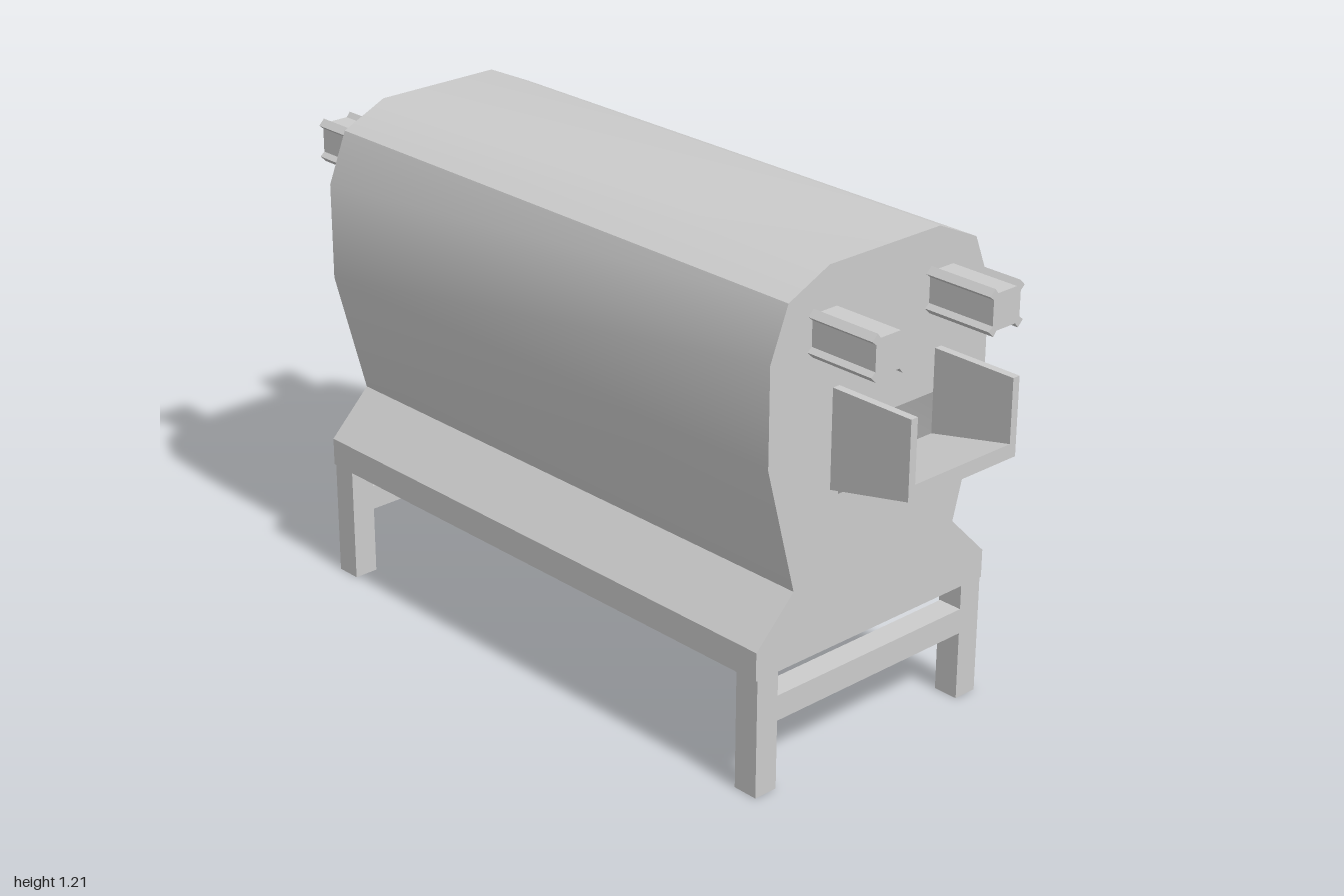
import * as THREE from 'three';
import { toCreasedNormals } from 'three/addons/utils/BufferGeometryUtils.js';

const FRONT = 0.775, BACK = -0.725;
const mat = new THREE.MeshStandardMaterial({ color: 0xcccccc });
const thin = new THREE.MeshStandardMaterial({ color: 0xcccccc, side: THREE.DoubleSide });

const toShape = (pts) => new THREE.Shape(pts.map(([x, y]) => new THREE.Vector2(x, y)));
const rect = (x0, x1, y0, y1) => [[x0, y0], [x1, y0], [x1, y1], [x0, y1]];

// Housing outline, right half mirrored to the left, counter-clockwise
const half = [[0.365, 0.295], [0.365, 0.365], [0.255, 0.475], [0.34, 0.79], [0.34, 1.03], [0.29, 1.155], [0.17, 1.21]];
const outline = [...half, ...half.map(([x, y]) => [-x, y]).reverse()];

// Hollow skin running along z around the outline
function skinGeometry() {
  const pos = [];
  outline.forEach(([ax, ay], i) => {
    const [bx, by] = outline[(i + 1) % outline.length];
    pos.push(ax, ay, FRONT, bx, by, BACK, bx, by, FRONT);
    pos.push(ax, ay, FRONT, ax, ay, BACK, bx, by, BACK);
  });
  const g = new THREE.BufferGeometry();
  g.setAttribute('position', new THREE.Float32BufferAttribute(pos, 3));
  return toCreasedNormals(g, 0.52);
}

// End plate with its opening
function plateGeometry(opening) {
  const s = toShape(outline);
  s.holes.push(toShape(opening));
  return new THREE.ShapeGeometry(s);
}

// Side profile in (z, y) extruded across x0..x1
function acrossX(pts, x0, x1) {
  const g = new THREE.ExtrudeGeometry(toShape(pts), { depth: x1 - x0, bevelEnabled: false });
  return g.rotateY(-Math.PI / 2).translate(x1, 0, 0);
}

// Square bar profile with flared corners
function railGeometry(z0, z1) {
  const corner = [[0.043, 0.03], [0.055, 0.04], [0.04, 0.055], [0.03, 0.043]];
  const pts = [];
  for (let k = 0; k < 4; k++) {
    const c = Math.round(Math.cos(k * Math.PI / 2)), s = Math.round(Math.sin(k * Math.PI / 2));
    corner.forEach(([x, y]) => pts.push([x * c - y * s, x * s + y * c]));
  }
  return new THREE.ExtrudeGeometry(toShape(pts), { depth: z1 - z0, bevelEnabled: false }).translate(0, 0, z0);
}

export function createModel() {
  const model = new THREE.Group();
  model.name = 'machine';
  const add = (name, geometry, material = mat, parent = model) => {
    const m = new THREE.Mesh(geometry, material);
    m.name = name;
    parent.add(m);
    return m;
  };
  const box = (name, x0, x1, y0, y1, z0, z1, parent) =>
    add(name, new THREE.BoxGeometry(x1 - x0, y1 - y0, z1 - z0), mat, parent)
      .position.set((x0 + x1) / 2, (y0 + y1) / 2, (z0 + z1) / 2);

  // Hollow housing
  const housing = new THREE.Group();
  housing.name = 'housing';
  model.add(housing);
  add('housingSkin', skinGeometry(), thin, housing);
  add('frontPlate', plateGeometry(rect(-0.125, 0.17, 0.667, 0.82)), thin, housing).position.z = FRONT;
  add('backPlate', plateGeometry(rect(-0.13, 0.19, 0.7, 0.95)).rotateY(0), thin, housing).position.z = BACK;

  // Front chute: sloping floor between two cheeks
  const chute = new THREE.Group();
  chute.name = 'frontChute';
  model.add(chute);
  const cheek = [[FRONT, 0.685], [1, 0.735], [1, 0.925], [FRONT, 0.925]];
  add('chuteFloor', acrossX([[FRONT, 0.685], [1, 0.735], [1, 0.77], [FRONT, 0.72]], -0.13, 0.17), mat, chute);
  add('chuteRightCheek', acrossX(cheek, -0.15, -0.13), mat, chute);
  add('chuteLeftCheek', acrossX(cheek, 0.17, 0.19), mat, chute);

  // Back tray reaching into the housing
  box('backTray', -0.125, 0.165, 0.7, 0.716, -1, -0.54);

  // Two rails passing through the housing
  for (const [name, x] of [['rightRail', -0.175], ['leftRail', 0.187]]) {
    add(name, railGeometry(-0.91, 0.957)).position.set(x, 1.068, 0);
  }

  // Leg frames at both ends
  for (const [end, z0, z1] of [['front', 0.71, FRONT], ['back', BACK, -0.66]]) {
    const frame = new THREE.Group();
    frame.name = end + 'LegFrame';
    model.add(frame);
    box(end + 'RightLeg', -0.36, -0.297, 0, 0.295, z0, z1, frame);
    box(end + 'LeftLeg', 0.297, 0.36, 0, 0.295, z0, z1, frame);
    box(end + 'Crossbar', -0.297, 0.297, 0.172, 0.235, z0 + 0.003, z1, frame);
  }
  return model;
}
